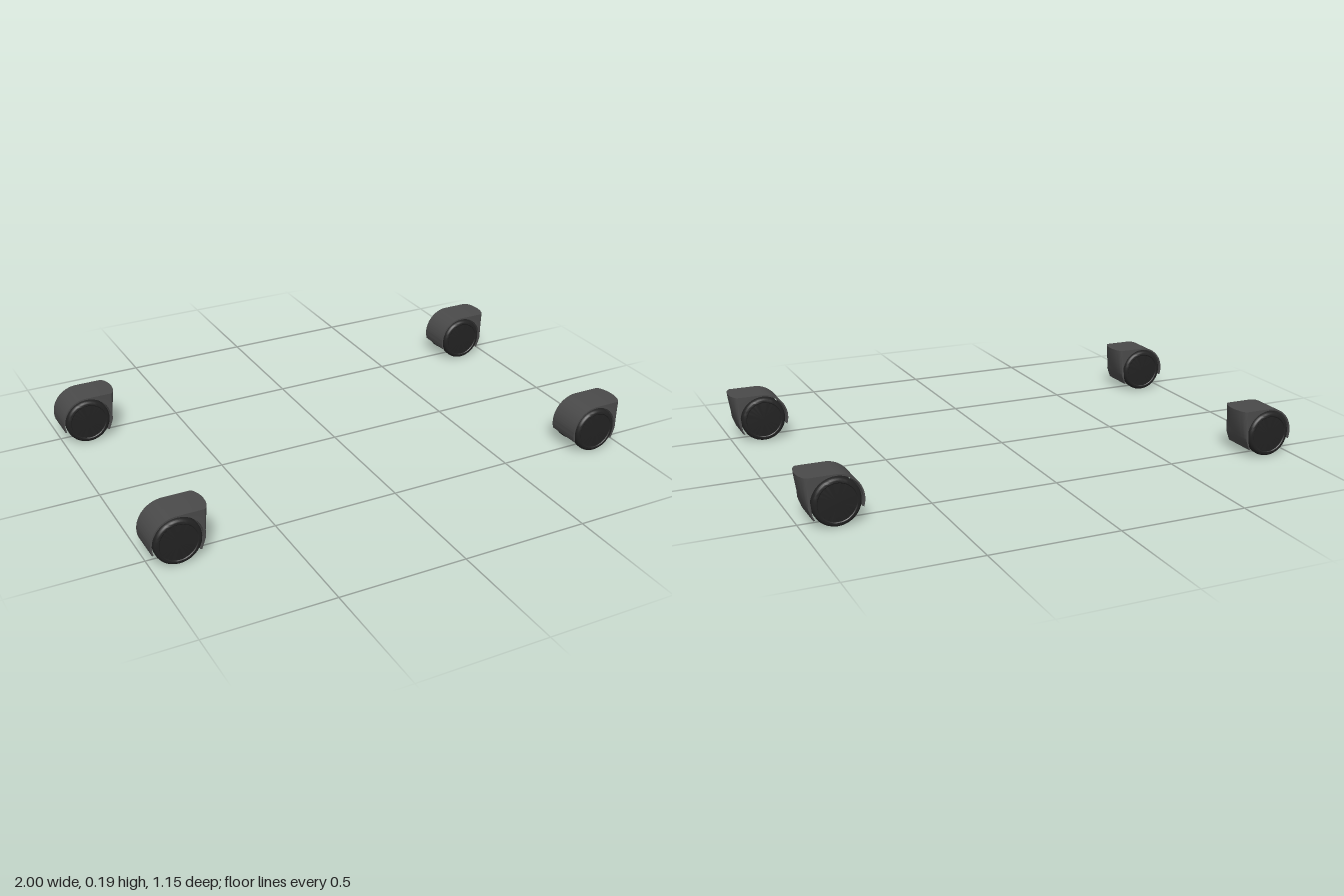
import * as THREE from 'three';
import { toCreasedNormals } from 'three/addons/utils/BufferGeometryUtils.js';

const WHEEL_R = 0.09, HOOD_IN = 0.096, HOOD_OUT = 0.102, HOOD_HALF = 0.07;
const hoodMat = new THREE.MeshStandardMaterial({ color: 0x4a4a4a });
const wheelMat = new THREE.MeshStandardMaterial({ color: 0x222222 });

// Arched hood: side profile around the axle, with its overhanging end rounded in plan
function hoodGeometry() {
  const a0 = Math.PI + 0.31, a1 = -0.6;
  const s = new THREE.Shape();
  s.moveTo(Math.cos(a0) * HOOD_OUT, Math.sin(a0) * HOOD_OUT);
  s.absarc(0, 0, HOOD_OUT, a0, Math.PI / 2, true);
  s.lineTo(0.127, HOOD_OUT);
  s.quadraticCurveTo(0.117, 0.02, 0.086, -0.056);
  s.lineTo(Math.cos(a1) * HOOD_IN, Math.sin(a1) * HOOD_IN);
  s.absarc(0, 0, HOOD_IN, a1, a0, false);
  const geo = new THREE.ExtrudeGeometry(s, { depth: 2, steps: 20, bevelEnabled: false, curveSegments: 28 });
  const p = geo.attributes.position;
  for (let i = 0; i < p.count; i++) {
    const t = Math.sin((p.getZ(i) - 1) * Math.PI / 2);
    const x = p.getX(i);
    if (x > HOOD_OUT) p.setX(i, HOOD_OUT + (x - HOOD_OUT) * Math.pow(Math.max(0, 1 - t * t), 0.6));
    p.setZ(i, t * HOOD_HALF);
  }
  return toCreasedNormals(geo, 0.6);
}

// Wheel with rounded shoulder and a shallow recessed cap, turned about its axle
function wheelGeometry() {
  const pts = [
    [0, 0.042], [0.082, 0.042], [0.088, 0.044], [WHEEL_R, 0.049], [WHEEL_R, 0.065],
    [0.088, 0.072], [0.085, 0.076], [0.08, 0.0785], [0.074, 0.0785], [0.071, 0.076], [0, 0.076],
  ].map(([r, y]) => new THREE.Vector2(r, y));
  return toCreasedNormals(new THREE.LatheGeometry(pts, 48), 0.6);
}

export function createModel() {
  const model = new THREE.Group();
  model.name = 'casterSet';
  const hoodGeo = hoodGeometry();
  const wheelGeo = wheelGeometry();
  const axleGeo = new THREE.CylinderGeometry(0.025, 0.025, 0.09, 24);

  const add = (parent, name, geo, mat, turn = 0) => {
    const mesh = new THREE.Mesh(geo, mat);
    mesh.name = name;
    mesh.rotation.x = turn;
    parent.add(mesh);
  };

  // Four identical casters, all trailing the same way
  for (const [side, x] of [['Right', -0.898], ['Left', 0.873]]) {
    for (const [end, z] of [['front', 0.4985], ['back', -0.4985]]) {
      const caster = new THREE.Group();
      caster.name = `${end}${side}Caster`;
      caster.position.set(x, WHEEL_R, z);
      add(caster, 'hood', hoodGeo, hoodMat);
      add(caster, 'frontWheel', wheelGeo, wheelMat, Math.PI / 2);
      add(caster, 'backWheel', wheelGeo, wheelMat, -Math.PI / 2);
      add(caster, 'axle', axleGeo, wheelMat, Math.PI / 2);
      model.add(caster);
    }
  }
  return model;
}
